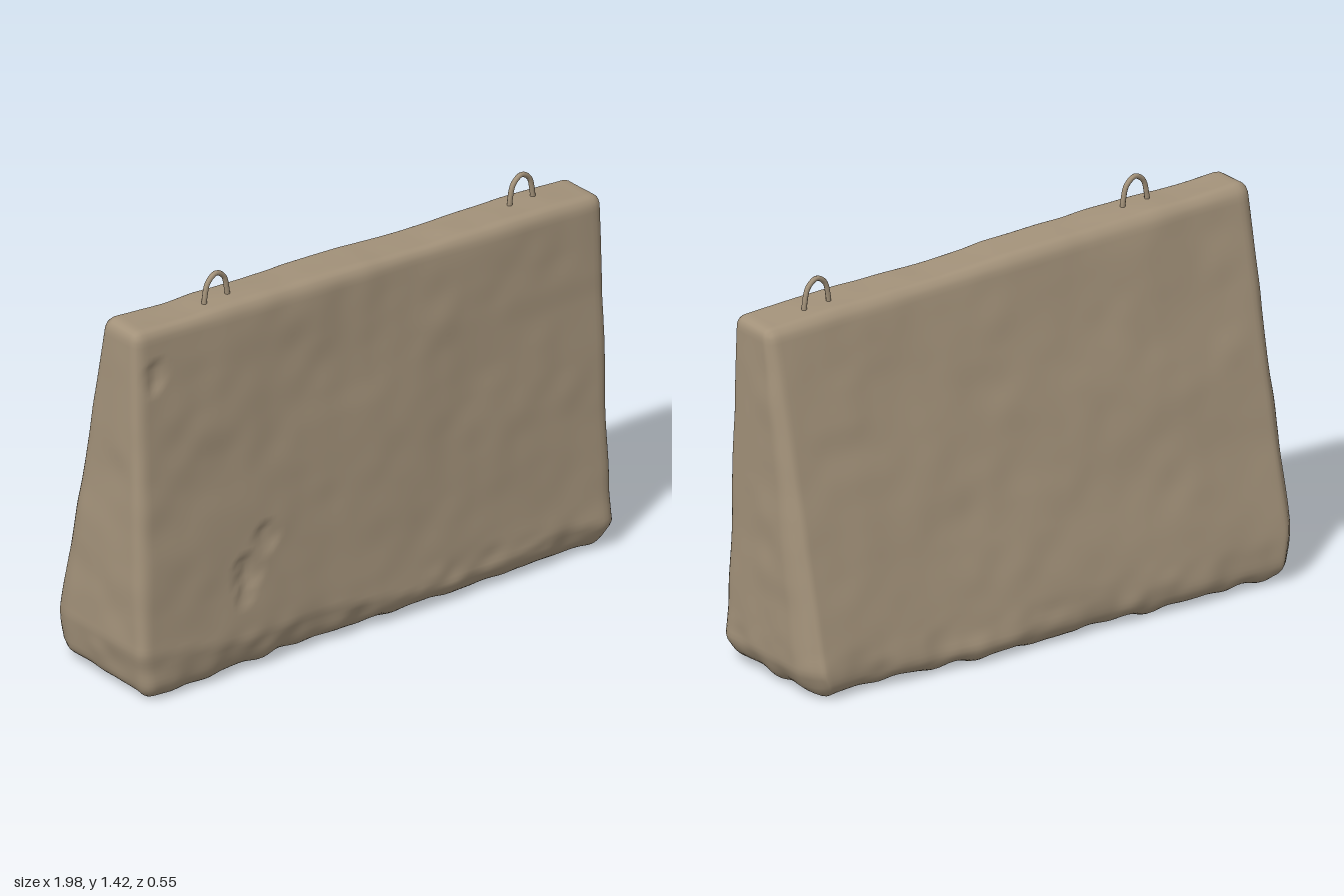
import * as THREE from 'three';
import { mergeVertices } from 'three/addons/utils/BufferGeometryUtils.js';

const { clamp, lerp, smoothstep } = THREE.MathUtils;

// Seeded smooth value noise in -1..1
function hash(x, y, z) {
  const s = Math.sin(x * 127.1 + y * 311.7 + z * 74.7) * 43758.5453;
  return (s - Math.floor(s)) * 2 - 1;
}
function noise(x, y, z) {
  const i = Math.floor(x), j = Math.floor(y), k = Math.floor(z);
  const u = smoothstep(x - i, 0, 1), v = smoothstep(y - j, 0, 1), w = smoothstep(z - k, 0, 1);
  const row = (b, c) => lerp(hash(i, b, c), hash(i + 1, b, c), u);
  const plane = (c) => lerp(row(j, c), row(j + 1, c), v);
  return lerp(plane(k), plane(k + 1), w);
}

// Silhouette rules of the block
const topY = (x) => 1.293 - 0.037 * x;
const frontZ = (y) => lerp(0.27, 0.172, y / 1.3);
const backZ = (y) => lerp(-0.282, -0.014, y / 1.3);
const leftX = (y) => lerp(0.972, 0.99, y / 1.3);
const rightX = (y) => lerp(-0.995, -0.947, y / 1.3);

// Bowl-shaped chips: x, y, radius, depth
const chips = [[-0.54, 0.36, 0.07, 0.022], [-0.46, 0.46, 0.06, 0.016], [-0.88, 1.16, 0.06, 0.016], [-0.55, 0.28, 0.04, 0.012]];

function blockGeometry() {
  let geo = new THREE.BoxGeometry(2, 2, 2, 110, 74, 32);
  geo.deleteAttribute('uv');
  geo.deleteAttribute('normal');
  geo = mergeVertices(geo);
  const pos = geo.attributes.position;
  const p = new THREE.Vector3(), inner = new THREE.Vector3(), out = new THREE.Vector3();
  for (let i = 0; i < pos.count; i++) {
    const u = pos.getX(i), v = pos.getY(i), w = pos.getZ(i);

    // Taper the box towards its sloping top
    const h = topY(u);
    const y = lerp(0.008, h, (v + 1) / 2);
    const x0 = rightX(y), x1 = leftX(y), z0 = backZ(y), z1 = frontZ(y);
    p.set(lerp(x0, x1, (u + 1) / 2), y, lerp(z0, z1, (w + 1) / 2));

    // Round the edges
    const r = lerp(0.05, 0.036, y / h);
    inner.set(clamp(p.x, x0 + r, x1 - r), clamp(y, 0.008 + r, h - r), clamp(p.z, z0 + r, z1 - r));
    out.subVectors(p, inner);
    if (out.lengthSq() > 0) out.normalize();
    p.copy(inner).addScaledVector(out, r);

    // Worn lower edges, broken away unevenly along the length
    const wearH = 0.1 + 0.035 * noise(p.x * 4, 1, 5) + 0.06 * smoothstep(-p.x, 0.6, 1);
    const wear = clamp(1 - p.y / wearH, 0, 1);
    if (w > 0) p.z -= wear * 0.04 * w;
    else p.z -= wear * wear * 0.035 * w;
    p.x -= wear * 0.04 * Math.sign(u) * smoothstep(Math.abs(u), 0.8, 1);

    // Softer vertical corners at the back
    if (w < 0) p.x -= 0.03 * Math.sign(u) * smoothstep(Math.abs(u), 0.9, 1) * smoothstep(-w, 0.6, 1) * (1 - p.y / 1.5);

    // Gentle undulation plus rough stone near the base
    const rough = 1 - smoothstep(p.y, 0.06, 0.2);
    let d = 0.006 * noise(p.x * 4, p.y * 4, p.z * 4) + 0.003 * noise(p.x * 10 + 7, p.y * 10, p.z * 10);
    d += rough * 0.009 * noise(p.x * 13, p.y * 16 + 3, p.z * 13);
    if (w > 0.9) {
      for (const [cx, cy, cr, depth] of chips) {
        const q = Math.hypot(p.x - cx, p.y - cy) / cr;
        d -= depth * Math.max(0, 1 - q * q) * (0.7 + 0.5 * noise(p.x * 24, p.y * 24, 2));
      }
    }
    p.addScaledVector(out, d);
    pos.setXYZ(i, p.x, Math.max(p.y, 0), p.z);
  }
  geo.computeVertexNormals();
  return geo;
}

// Bent lifting bar with both legs sunk into the top
function loopGeometry(x, z, tip) {
  const base = topY(x) - 0.03;
  const profile = [[-0.055, 0], [-0.05, 0.45], [-0.036, 0.82], [0, 1], [0.036, 0.82], [0.05, 0.45], [0.055, 0]];
  const points = profile.map(([dx, t]) => new THREE.Vector3(x + dx, lerp(base, tip, t), z - dx * 0.12));
  return new THREE.TubeGeometry(new THREE.CatmullRomCurve3(points), 36, 0.009, 8);
}

export function createModel() {
  const model = new THREE.Group();
  model.name = 'concreteBarrier';
  const concrete = new THREE.MeshStandardMaterial({ color: 0xa3927a });
  concrete.name = 'concrete';

  const add = (name, geo) => {
    const mesh = new THREE.Mesh(geo, concrete);
    mesh.name = name;
    model.add(mesh);
  };
  add('block', blockGeometry());
  add('rightLiftingLoop', loopGeometry(-0.557, 0.093, 1.412));
  add('leftLiftingLoop', loopGeometry(0.735, 0.06, 1.362));
  return model;
}
